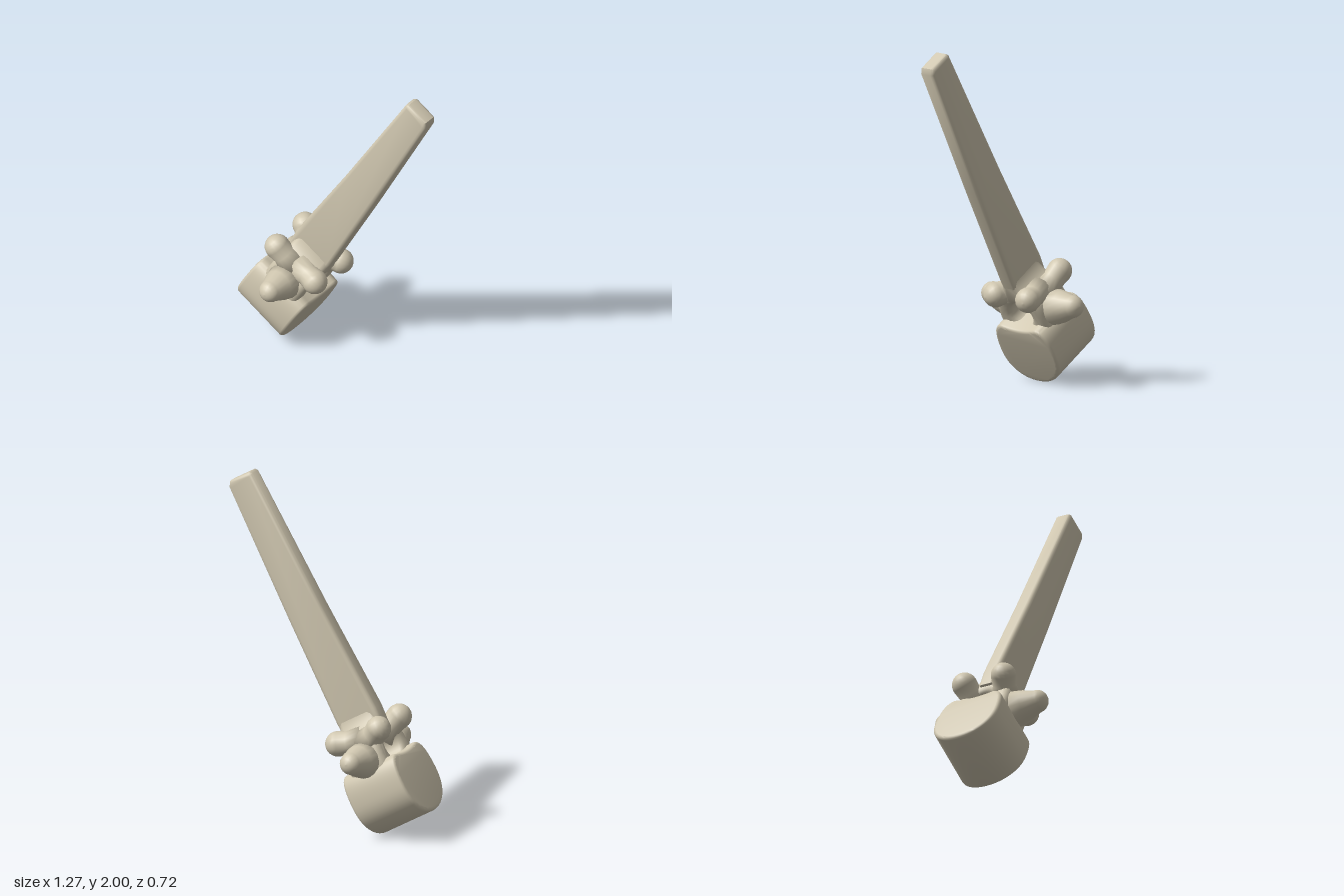
import * as THREE from 'three';
import { toCreasedNormals } from 'three/addons/utils/BufferGeometryUtils.js';

export function createModel() {
  const model = new THREE.Group();
  model.name = 'vertebra';
  const bone = new THREE.MeshStandardMaterial({ color: 0xd0c7b0 });
  bone.name = 'bone';

  // Everything is built upright, then tilted towards +x
  const tilted = new THREE.Group();
  tilted.name = 'tiltedVertebra';
  tilted.position.set(-0.49, 0.092, 0);
  tilted.rotation.z = -Math.PI / 6;
  model.add(tilted);

  const add = (name, geometry) => {
    const mesh = new THREE.Mesh(geometry, bone);
    mesh.name = name;
    tilted.add(mesh);
    return mesh;
  };
  const V = (x, y, z) => new THREE.Vector3(x, y, z);

  // Extrusion with rounded rims, centred on its depth
  const slab = (shape, depth, bevel) => {
    const g = new THREE.ExtrudeGeometry(shape, {
      depth: depth - 2 * bevel, bevelThickness: bevel, bevelSize: bevel,
      bevelOffset: -bevel, bevelSegments: 3, curveSegments: 16,
    });
    g.translate(0, 0, -depth / 2 + bevel);
    return toCreasedNormals(g, 0.75);
  };

  // Tapered knob with a domed tip, from a to the far end b
  const knob = (name, a, b, rootRadius, neckRadius, tipRadius) => {
    const dir = b.clone().sub(a);
    const len = dir.length();
    const profile = [
      new THREE.Vector2(0.001, 0),
      new THREE.Vector2(rootRadius, 0),
      new THREE.Vector2(neckRadius, (len - tipRadius) * 0.6),
    ];
    for (let i = 0; i <= 6; i++) {
      const t = (i / 6) * Math.PI / 2;
      profile.push(new THREE.Vector2(Math.max(0.0005, tipRadius * Math.cos(t)),
        len - tipRadius + tipRadius * Math.sin(t)));
    }
    const mesh = add(name, new THREE.LatheGeometry(profile, 16));
    mesh.position.copy(a);
    mesh.quaternion.setFromUnitVectors(V(0, 1, 0), dir.normalize());
  };

  // Drum-shaped body, round below and slightly hollow on top
  const drum = new THREE.Shape();
  drum.moveTo(0, 0);
  drum.bezierCurveTo(0.12, 0, 0.205, 0.08, 0.205, 0.2);
  drum.bezierCurveTo(0.205, 0.31, 0.18, 0.385, 0.12, 0.385);
  drum.quadraticCurveTo(0, 0.355, -0.12, 0.385);
  drum.bezierCurveTo(-0.18, 0.385, -0.205, 0.31, -0.205, 0.2);
  drum.bezierCurveTo(-0.205, 0.08, -0.12, 0, 0, 0);
  add('body', slab(drum, 0.37, 0.018).rotateY(Math.PI / 2));

  // Arch around the canal
  const arch = new THREE.Shape();
  arch.moveTo(-0.17, 0.32);
  arch.lineTo(0.17, 0.32);
  arch.quadraticCurveTo(0.185, 0.5, 0.12, 0.56);
  arch.quadraticCurveTo(0.06, 0.6, 0.045, 0.68);
  arch.lineTo(-0.045, 0.68);
  arch.quadraticCurveTo(-0.06, 0.6, -0.12, 0.56);
  arch.quadraticCurveTo(-0.185, 0.5, -0.17, 0.32);
  const canal = new THREE.Path();
  canal.absellipse(0, 0.43, 0.072, 0.075, 0, Math.PI * 2, true);
  arch.holes.push(canal);
  add('arch', slab(arch, 0.25, 0.035).rotateY(Math.PI / 2));

  // Long tapering blade
  const blade = new THREE.Shape();
  blade.moveTo(-0.14, 0.54);
  blade.lineTo(0.12, 0.54);
  blade.lineTo(0.127, 0.66);
  blade.lineTo(0.105, 1.3);
  blade.lineTo(0.067, 2.12);
  blade.lineTo(0.045, 2.15);
  blade.lineTo(-0.095, 2.15);
  blade.lineTo(-0.108, 2.135);
  blade.lineTo(-0.125, 1.3);
  blade.lineTo(-0.15, 0.66);
  add('blade', slab(blade, 0.1, 0.022));

  // Paired side processes and joint knobs
  for (const s of [1, -1]) {
    const side = s > 0 ? 'front' : 'back';
    knob(side + 'SideProcess', V(0, 0.42, s * 0.12), V(-0.005, 0.455, s * 0.36), 0.115, 0.09, 0.065);
    knob(side + 'UpperJoint', V(-0.03, 0.5, s * 0.09), V(-0.225, 0.575, s * 0.145), 0.09, 0.066, 0.072);
    knob(side + 'LowerJoint', V(0.01, 0.52, s * 0.08), V(0.192, 0.592, s * 0.14), 0.09, 0.066, 0.072);
  }
  return model;
}
